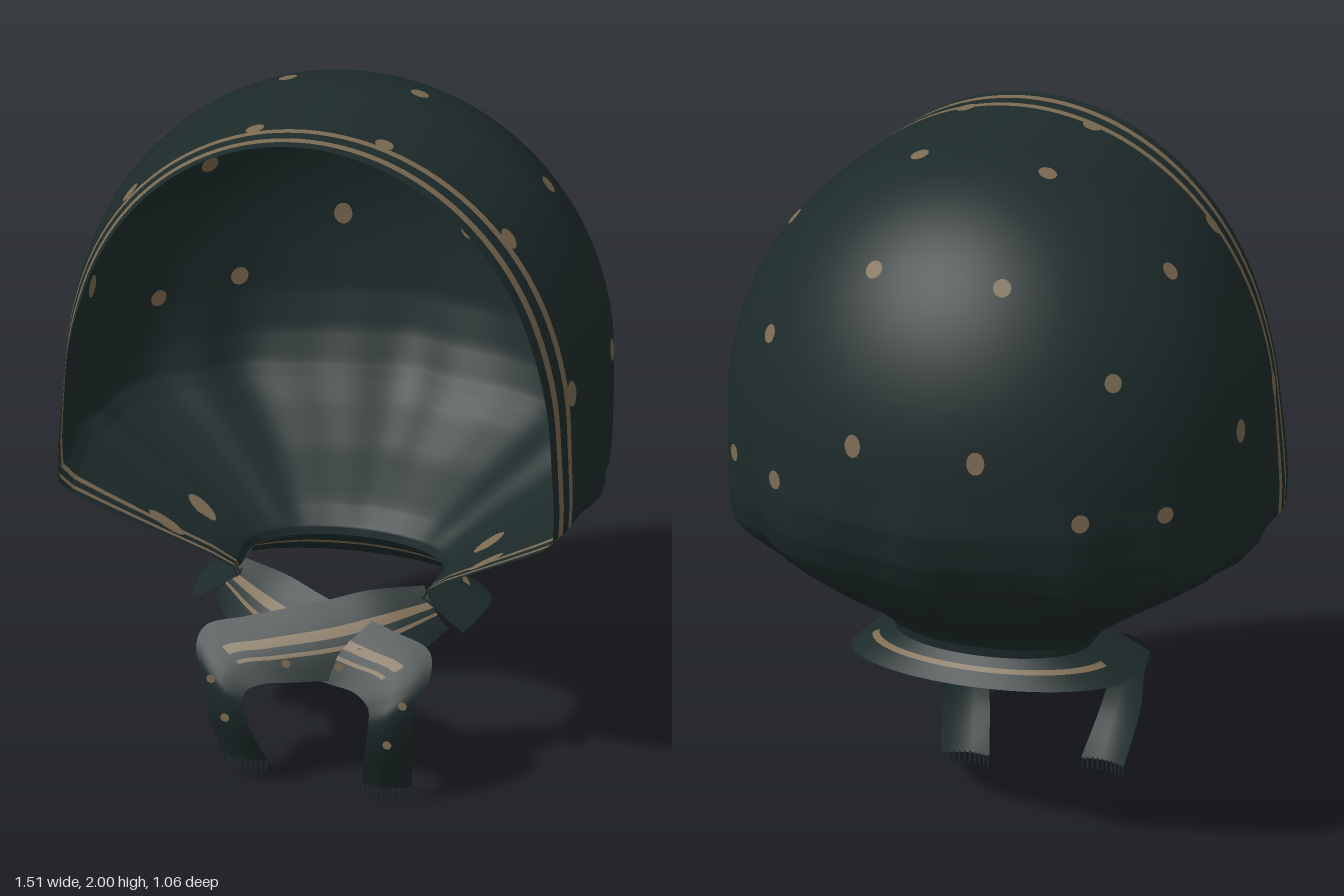
import * as THREE from 'three';
import { mergeVertices } from 'three/addons/utils/BufferGeometryUtils.js';

const cloth = new THREE.MeshStandardMaterial({ color: 0x1e2b2b, side: THREE.DoubleSide });
cloth.name = 'dark green cloth';
const tan = new THREE.MeshStandardMaterial({ color: 0x7c6b52, side: THREE.DoubleSide });
tan.name = 'tan print';

const V = (x, y, z) => new THREE.Vector3(x, y, z);
const steps = (a, b, n) => Array.from({ length: n + 1 }, (_, i) => a + (b - a) * i / n);

// Surface patch over u and v values; isTan(u, v) picks the printed cells
function patch(name, fn, us, vs, isTan) {
  const pos = [], dark = [], print = [], n = us.length;
  for (const v of vs) for (const u of us) pos.push(...fn(u, v).toArray());
  for (let j = 0; j < vs.length - 1; j++) for (let i = 0; i < n - 1; i++) {
    const a = j * n + i, list = isTan((us[i] + us[i + 1]) / 2, (vs[j] + vs[j + 1]) / 2) ? print : dark;
    list.push(a, a + 1, a + n, a + 1, a + n + 1, a + n);
  }
  let geo = new THREE.BufferGeometry();
  geo.setAttribute('position', new THREE.Float32BufferAttribute(pos, 3));
  geo.setIndex([...dark, ...print]);
  geo.addGroup(0, dark.length, 0);
  geo.addGroup(dark.length, print.length, 1);
  geo = mergeVertices(geo, 1e-5);
  geo.computeVertexNormals();
  const mesh = new THREE.Mesh(geo, [cloth, tan]);
  mesh.name = name;
  return mesh;
}

// Horizontal U-shaped section: half ellipse at the back, sides drawn in slightly towards the open front
const SIDE = 0.65;
function section(u, y, w, zf, zc, zb) {
  const a = Math.abs(u), s = Math.sign(u);
  if (a <= SIDE) {
    const t = a / SIDE * Math.PI / 2;
    return V(s * w * Math.sin(t), y, zc - (zc - zb) * Math.cos(t));
  }
  const t = (a - SIDE) / (1 - SIDE);
  const drawIn = 0.05 + 0.045 * THREE.MathUtils.smoothstep(y, 0.9, 1.5);
  return V(s * w * (1 - drawIn * t * t), y, zc + t * (zf - zc));
}

// Lower hood rows: y, half width, front z, centre z, back z
const LOWER = [
  [1.22, 0.75, 0.505, 0.12, -0.53], [1.08, 0.75, 0.515, 0.12, -0.528],
  [0.97, 0.75, 0.52, 0.12, -0.495], [0.89, 0.745, 0.52, 0.12, -0.45],
  [0.85, 0.71, 0.50, 0.12, -0.42], [0.80, 0.635, 0.46, 0.12, -0.375],
  [0.71, 0.49, 0.39, 0.12, -0.265], [0.62, 0.35, 0.315, 0.10, -0.12],
  [0.57, 0.29, 0.275, 0.10, -0.065], [0.54, 0.28, 0.27, 0.10, -0.06],
];

// Hood surface: v 0..1 is the dome, 1..2 gathers down to the neck
function hoodAt(u, v) {
  if (v <= 1) {
    const f = Math.sin(v * Math.PI / 2);
    return section(u, 1.22 + 0.78 * Math.cos(v * Math.PI / 2), 0.75 * f, 0.505, 0.12, 0.12 - 0.65 * f);
  }
  const last = LOWER.length - 1, k = Math.min((v - 1) * last, last - 1e-4), i = Math.floor(k);
  const p = section(u, ...LOWER[i].map((c, j) => c + (LOWER[i + 1][j] - c) * (k - i)));
  // gathered pleats
  const fade = Math.sin(Math.PI * Math.min(1, (v - 1) * 1.05)) * Math.max(0, 1 - Math.abs(u) ** 4);
  const m = 1 + 0.022 * fade * (Math.cos(u * 27) + 0.4 * Math.sin(u * 46 + 1));
  return V(p.x * m, p.y, 0.12 + (p.z - 0.12) * m);
}

// Border stripes, as cuts in the straight side of the section
const CUTS = [0.70, 0.76, 0.855, 0.918];
const inStripe = t => (t > CUTS[0] && t < CUTS[1]) || (t > CUTS[2] && t < CUTS[3]);

function hood() {
  const half = [...steps(0, SIDE, 44), ...[0.2, 0.4, 0.55, ...CUTS, 1].map(t => SIDE + t * (1 - SIDE))];
  const us = [...half.slice(1).reverse().map(u => -u), ...half];
  return patch('hood', hoodAt, us, [...steps(0, 1, 28), ...steps(1, 2, 45).slice(1)],
    u => inStripe((Math.abs(u) - SIDE) / (1 - SIDE)));
}

// Printed spots, x y z and height stretch, mirrored, on both faces of the cloth
const SPOTS = [
  [0.19, 1.76, -0.32, 1], [0.51, 1.52, -0.30, 1], [0.18, 1.31, -0.49, 1.25], [0.45, 1.13, -0.40, 1],
  [0.63, 1.12, -0.23, 0.9], [0.19, 1.96, 0.03, 1], [0.56, 1.74, 0.02, 1], [0.74, 1.27, 0.06, 1.25],
  [0.18, 1.96, 0.38, 1], [0.53, 1.73, 0.38, 1.2], [0.73, 1.28, 0.38, 1.4],
  [0.46, 0.70, 0.31, 2.2], [0.42, 0.66, 0.11, 1.9],
];
function spots() {
  const group = new THREE.Group();
  group.name = 'printedSpots';
  const disc = new THREE.CircleGeometry(0.027, 14);
  for (const [x, y, z, stretch] of SPOTS) {
    const target = V(x, y, z);
    let best = [0, 0, Infinity];
    for (const u of steps(0.01, 0.99, 150)) for (const v of steps(0.05, 1.98, 200)) {
      const d = hoodAt(u, v).distanceToSquared(target);
      if (d < best[2]) best = [u, v, d];
    }
    const [u, v] = best, e = 0.008, p = hoodAt(u, v);
    const du = hoodAt(u + e, v).sub(hoodAt(u - e, v)), dv = hoodAt(u, v + e).sub(hoodAt(u, v - e));
    const n = du.cross(dv).normalize();
    for (const s of [1, -1]) for (const side of [1, -1]) {
      const m = new THREE.Mesh(disc, tan), normal = V(n.x * s, n.y, n.z).multiplyScalar(side);
      m.name = 'spot';
      m.position.set(p.x * s, p.y, p.z).addScaledVector(normal, 0.004);
      m.lookAt(m.position.clone().add(normal));
      m.scale.set(0.95, stretch, 1);
      group.add(m);
    }
  }
  return group;
}

// Flared band round the back of the neck
function collar() {
  return patch('collar', (u, v) => section(u, 0.55 - 0.08 * v, 0.27 + 0.14 * v, 0.27 + 0.03 * v, 0.1, -0.05 - 0.07 * v),
    steps(-1, 1, 60), [0, 0.2, 0.42, 0.56, 0.75, 1], (u, v) => v > 0.42 && v < 0.56 && Math.abs(u) < 0.6);
}

// Tie: crosses the front from one side, turns at the knot and hangs as a tail
const OUTER = [[0.26, 0.57, 0.24], [0.12, 0.565, 0.30], [0, 0.535, 0.34], [-0.2, 0.485, 0.385], [-0.32, 0.45, 0.41],
  [-0.335, 0.40, 0.45], [-0.30, 0.33, 0.49], [-0.295, 0.22, 0.47], [-0.27, 0.065, 0.405]];
const INNER = [[0.34, 0.46, 0.27], [0.24, 0.395, 0.38], [0.1, 0.355, 0.435], [-0.04, 0.34, 0.47], [-0.13, 0.335, 0.495],
  [-0.175, 0.315, 0.515], [-0.18, 0.28, 0.525], [-0.165, 0.2, 0.505], [-0.135, 0.065, 0.425]];
function tie(name, s, dz, drop) {
  const group = new THREE.Group();
  group.name = name;
  const curve = pts => new THREE.CatmullRomCurve3(pts.map(([x, y, z], i) =>
    V(x * s, y - drop * Math.max(0, i - 4) / 4, z + dz * Math.max(0, 1 - i / 6))));
  const outer = curve(OUTER), inner = curve(INNER);
  const at = (u, v) => outer.getPoint(v).lerp(inner.getPoint(v), u)
    .add(V(0, 0, 0.018 * Math.sin(Math.PI * u)));
  group.add(patch(name + 'Ribbon', at, [0, 0.12, 0.2, 0.32, 0.45, 0.56, 0.62, 0.8, 1], steps(0, 1, 60),
    (u, v) => v < 0.5 && ((u > 0.32 && u < 0.45) || (u > 0.56 && u < 0.62))));
  // print marks beside the stripe and down the tail
  for (const [u, v] of [[0.68, 0.2], [0.68, 0.36], [0.3, 0.7], [0.5, 0.85]]) {
    const mark = new THREE.Mesh(new THREE.CircleGeometry(0.013, 10), tan);
    mark.name = 'tieMark';
    mark.position.copy(at(u, v)).add(V(0, 0, 0.008));
    group.add(mark);
  }
  // fringe threads
  const thread = new THREE.BoxGeometry(0.004, 0.034, 0.004);
  for (const u of steps(0.03, 0.97, 9)) {
    const m = new THREE.Mesh(thread, cloth);
    m.name = 'fringeThread';
    m.position.copy(at(u, 1)).add(V(0, -0.013, 0));
    group.add(m);
  }
  return group;
}

export function createModel() {
  const model = new THREE.Group();
  model.name = 'headscarf';
  model.add(hood(), spots(), collar(), tie('frontTie', 1, 0, 0), tie('rearTie', -1, -0.035, 0.035));
  return model;
}
